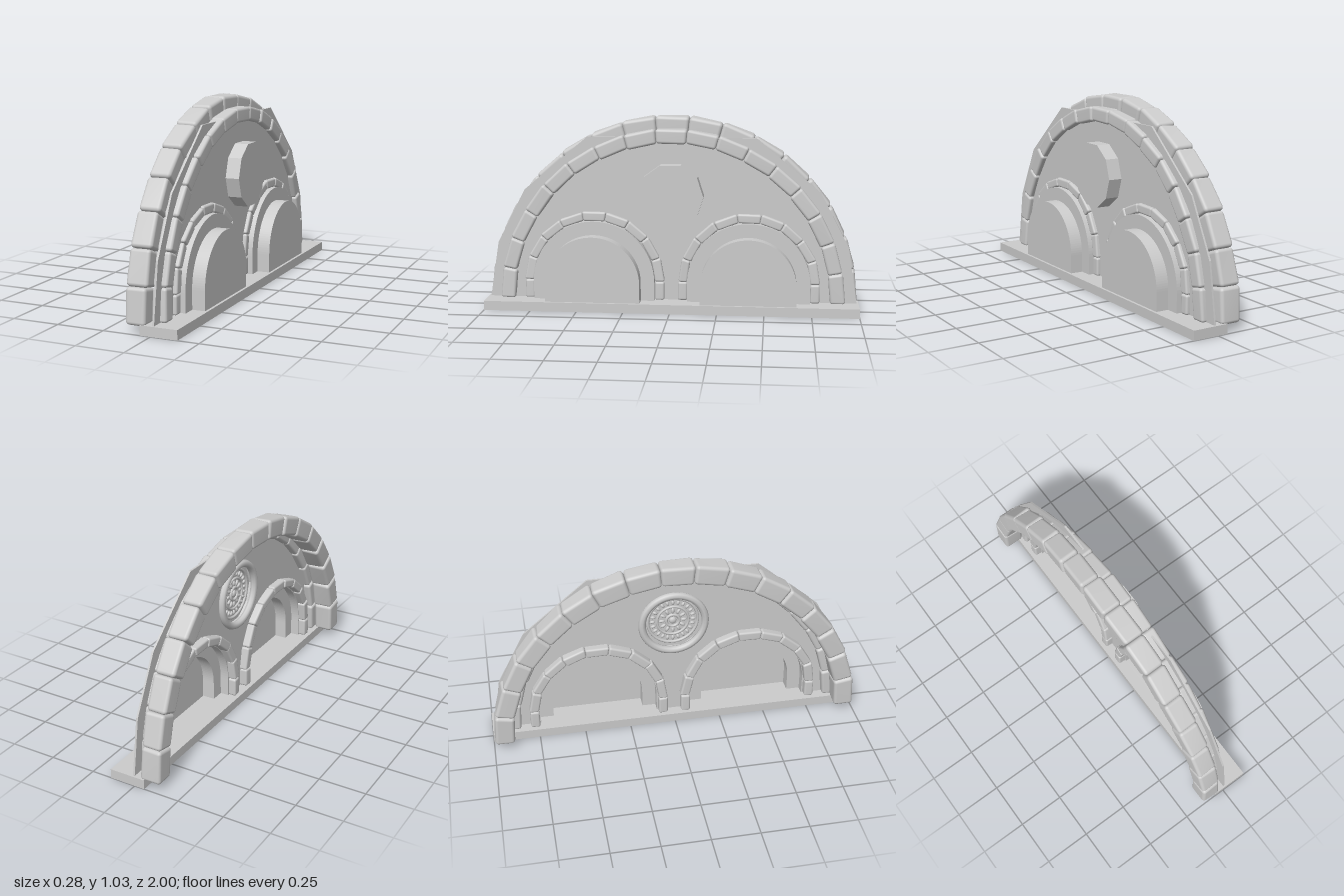
import * as THREE from 'three';
import { RoundedBoxGeometry } from 'three/addons/geometries/RoundedBoxGeometry.js';
import { mergeVertices } from 'three/addons/utils/BufferGeometryUtils.js';

const mat = new THREE.MeshStandardMaterial({ color: 0xcccccc, side: THREE.DoubleSide });
const BASE_TOP = 0.05, SPRING = 0.15, WALL_X = 0.005;

let seed = 7;
const rand = () => (seed = (seed * 16807) % 2147483647) / 2147483647 - 0.5;

function add(parent, name, geo) {
  const mesh = new THREE.Mesh(geo, mat);
  mesh.name = name;
  parent.add(mesh);
  return mesh;
}

// Extrudes a profile drawn in the wall plane from x0 to x1
function slab(shape, x0, x1) {
  return new THREE.ExtrudeGeometry(shape, { depth: x1 - x0, bevelEnabled: false, curveSegments: 32 })
    .rotateY(Math.PI / 2).translate(x0, 0, 0);
}

// Round-headed window outline
function archPath(r, u, Type = THREE.Shape) {
  const p = new Type();
  p.moveTo(u - r, BASE_TOP);
  p.lineTo(u + r, BASE_TOP);
  p.lineTo(u + r, SPRING);
  p.absarc(u, SPRING, r, 0, Math.PI, false);
  p.lineTo(u - r, BASE_TOP);
  return p;
}

function archRing(rOut, rIn, u) {
  const s = archPath(rOut, u);
  s.holes.push(archPath(rIn, u, THREE.Path));
  return s;
}

// Worn stone: rounded block of x = depth, y = radial, z = length
function stoneGeometry(depth, radial, length, round) {
  let g = new RoundedBoxGeometry(depth, radial, length, 3, round);
  g.deleteAttribute('normal');
  g.deleteAttribute('uv');
  g = mergeVertices(g, 1e-5);
  const p = g.attributes.position, a = rand() * 6, b = rand() * 6;
  for (let i = 0; i < p.count; i++) {
    const x = p.getX(i), y = p.getY(i), z = p.getZ(i), w = round * 0.16;
    p.setXYZ(i, x + w * Math.sin(25 * z + a), y + w * Math.sin(30 * z + 20 * x + b), z);
  }
  return g;
}

// Semicircle of stones, each block bent around the arch centre
function stoneArch(parent, name, { cz, cy, rIn, rOut, x0, x1, count, round }) {
  const group = new THREE.Group();
  group.name = name;
  parent.add(group);
  const rMid = (rIn + rOut) / 2, step = Math.PI / count;
  for (let i = 0; i < count; i++) {
    const g = stoneGeometry(x1 - x0 + rand() * 0.006, rOut - rIn + rand() * 0.006, rMid * step * 0.995, round);
    const p = g.attributes.position, mid = (i + 0.5) * step;
    for (let k = 0; k < p.count; k++) {
      const t = mid - p.getZ(k) / rMid, r = rMid + p.getY(k);
      p.setXYZ(k, (x0 + x1) / 2 + p.getX(k), cy + r * Math.sin(t), cz + r * Math.cos(t));
    }
    g.computeVertexNormals();
    add(group, 'archStone', g);
  }
  return group;
}

export function createModel() {
  const model = new THREE.Group();
  model.name = 'archedWindowWall';

  add(model, 'baseSlab', new THREE.BoxGeometry(0.195, BASE_TOP, 2).translate(0.0425, BASE_TOP / 2, 0));

  // Coarse wall panel with openings for the windows and the medallion
  const wall = new THREE.Shape([0, 18, 37, 63, 117, 143, 162, 180].map((d) => {
    const a = THREE.MathUtils.degToRad(d);
    return new THREE.Vector2(0.99 * Math.cos(a), 0.045 + 0.99 * Math.sin(a));
  }));
  for (const u of [-0.415, 0.415]) {
    const hole = archPath(0.325, u, THREE.Path);
    // keep the opening just inside the panel's bottom edge
    wall.holes.push(hole);
  }
  wall.holes.push(new THREE.Path().absarc(0, 0.62, 0.165, 0, Math.PI * 2, true));
  add(model, 'wallPanel', slab(wall, WALL_X, WALL_X + 0.01));

  // Two stepped rings of stones
  stoneArch(model, 'outerArch', { cz: 0, cy: 0.04, rIn: 0.89, rOut: 0.995, x0: -0.14, x1: -0.03, count: 17, round: 0.018 });
  stoneArch(model, 'innerArch', { cz: 0, cy: 0.045, rIn: 0.85, rOut: 0.928, x0: -0.032, x1: 0.043, count: 17, round: 0.015 });

  // Recessed windows with stone surrounds
  for (const side of [-1, 1]) {
    const cz = 0.415 * side, u = -cz;
    const win = new THREE.Group();
    win.name = side > 0 ? 'windowFrontEnd' : 'windowBackEnd';
    model.add(win);
    add(win, 'outerReveal', slab(archRing(0.327, 0.321, u), WALL_X, 0.057));
    add(win, 'revealStep', slab(archRing(0.327, 0.248, u), 0.052, 0.057));
    add(win, 'innerReveal', slab(archRing(0.254, 0.248, u), 0.055, 0.125));
    add(win, 'windowBack', slab(archPath(0.254, u), 0.12, 0.126));
    stoneArch(win, 'surroundArch', { cz, cy: SPRING, rIn: 0.328, rOut: 0.378, x0: -0.035, x1: 0.035, count: 9, round: 0.011 });
    for (const s of [-1, 1]) {
      const leg = stoneGeometry(0.07, SPRING - BASE_TOP, 0.05, 0.011);
      leg.translate(0, (SPRING + BASE_TOP) / 2, cz + s * 0.353).computeVertexNormals();
      add(win, 'surroundLeg', leg);
    }
  }

  // Ten-sided housing, closed on the +x side, with a carved round relief inside
  const medallion = new THREE.Group();
  medallion.name = 'medallion';
  medallion.position.y = 0.62;
  model.add(medallion);
  const decagon = (r) => Array.from({ length: 10 }, (_, i) =>
    new THREE.Vector2(r * Math.cos(i * Math.PI / 5), r * Math.sin(i * Math.PI / 5)));
  const housing = new THREE.Shape(decagon(0.175));
  housing.holes.push(new THREE.Path(decagon(0.169)));
  add(medallion, 'housingSide', slab(housing, WALL_X, 0.09));
  add(medallion, 'housingBack', slab(new THREE.Shape(decagon(0.175)), 0.085, 0.09));
  add(medallion, 'reliefDisc', new THREE.CylinderGeometry(0.166, 0.166, 0.01, 40).rotateZ(Math.PI / 2).translate(0.03, 0, 0));
  for (const [r, tube, x] of [[0.17, 0.02, -0.005], [0.135, 0.008, 0.022], [0.085, 0.007, 0.022], [0.035, 0.008, 0.022]]) {
    add(medallion, 'reliefRing', new THREE.TorusGeometry(r, tube, 8, 48).rotateY(Math.PI / 2).translate(x, 0, 0));
  }
  for (const [count, r, length] of [[24, 0.11, 0.014], [12, 0.06, 0.017]]) {
    for (let i = 0; i < count; i++) {
      const petal = new THREE.SphereGeometry(1, 10, 6).scale(0.009, length, 0.009);
      add(medallion, 'reliefPetal', petal.translate(0.024, r, 0).rotateX(i * 2 * Math.PI / count));
    }
  }
  add(medallion, 'reliefBoss', new THREE.SphereGeometry(0.02, 12, 8).scale(0.6, 1, 1).translate(0.024, 0, 0));

  return model;
}
